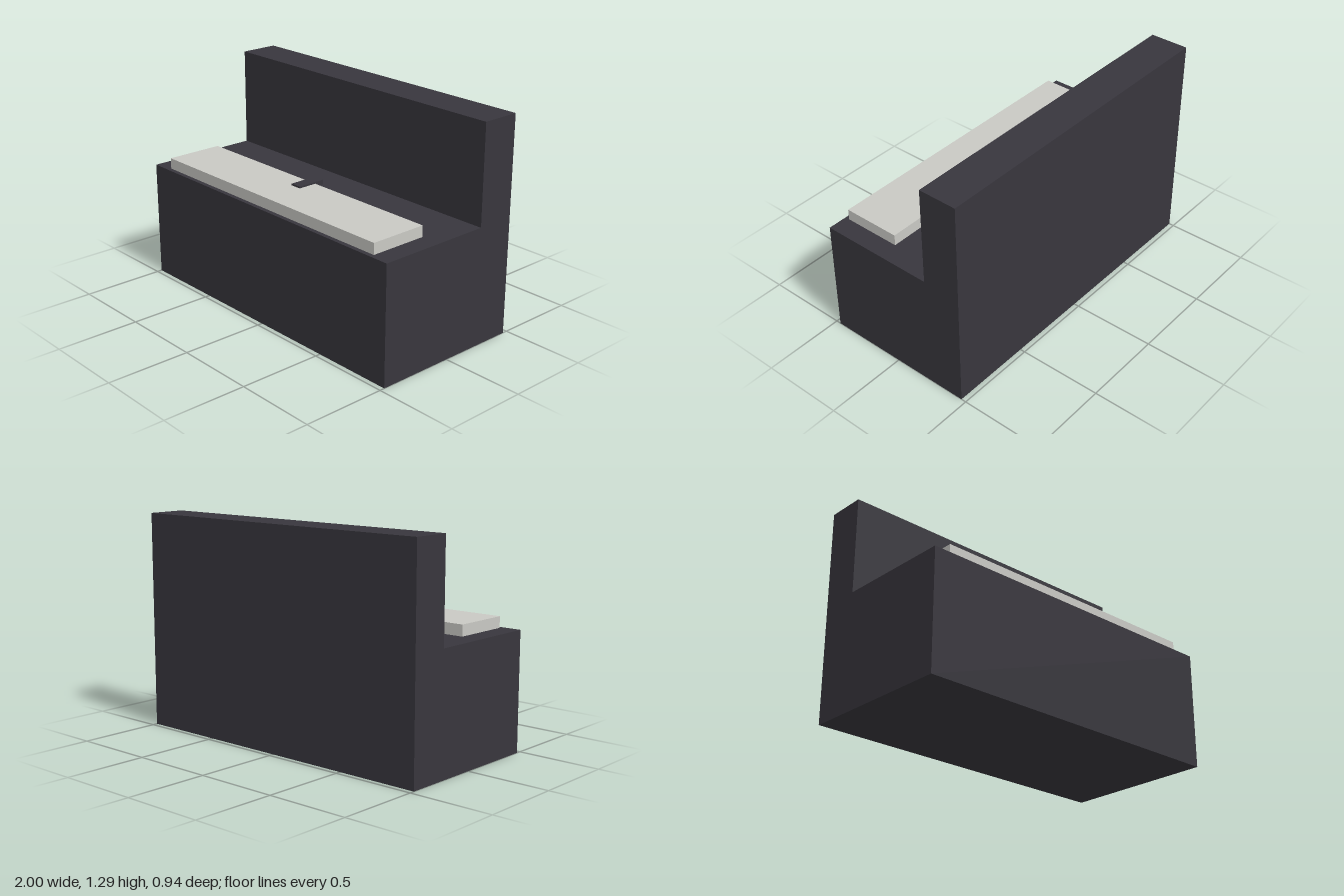
import * as THREE from 'three';

export function createModel() {
  const model = new THREE.Group();
  model.name = 'keyboardBench';

  const charcoal = new THREE.MeshStandardMaterial({ color: 0x38363d });
  charcoal.name = 'charcoal';
  const paleGrey = new THREE.MeshStandardMaterial({ color: 0xc9c9c4 });
  paleGrey.name = 'paleGrey';

  // L-shaped body: side profile (z, y) extruded across the width
  const profile = new THREE.Shape([
    [-0.47, 0], [0.47, 0], [0.47, 0.705],
    [-0.235, 0.705], [-0.235, 1.295], [-0.47, 1.295],
  ].map(([z, y]) => new THREE.Vector2(z, y)));
  const bodyGeometry = new THREE.ExtrudeGeometry(profile, { depth: 2, bevelEnabled: false });
  bodyGeometry.translate(0, 0, -1).rotateY(-Math.PI / 2);
  const body = new THREE.Mesh(bodyGeometry, charcoal);
  body.name = 'body';
  model.add(body);

  // Box given by its half width and its y and z limits
  function addSlab(name, halfWidth, [y0, y1], [z0, z1], material) {
    const slab = new THREE.Mesh(new THREE.BoxGeometry(halfWidth * 2, y1 - y0, z1 - z0), material);
    slab.position.set(0, (y0 + y1) / 2, (z0 + z1) / 2);
    slab.name = name;
    model.add(slab);
  }

  // Pale panel on the ledge, and the small tab over its rear edge
  addSlab('panel', 0.88, [0.705, 0.771], [0.09, 0.443], paleGrey);
  addSlab('tab', 0.035, [0.753, 0.781], [0.03, 0.206], charcoal);

  return model;
}
